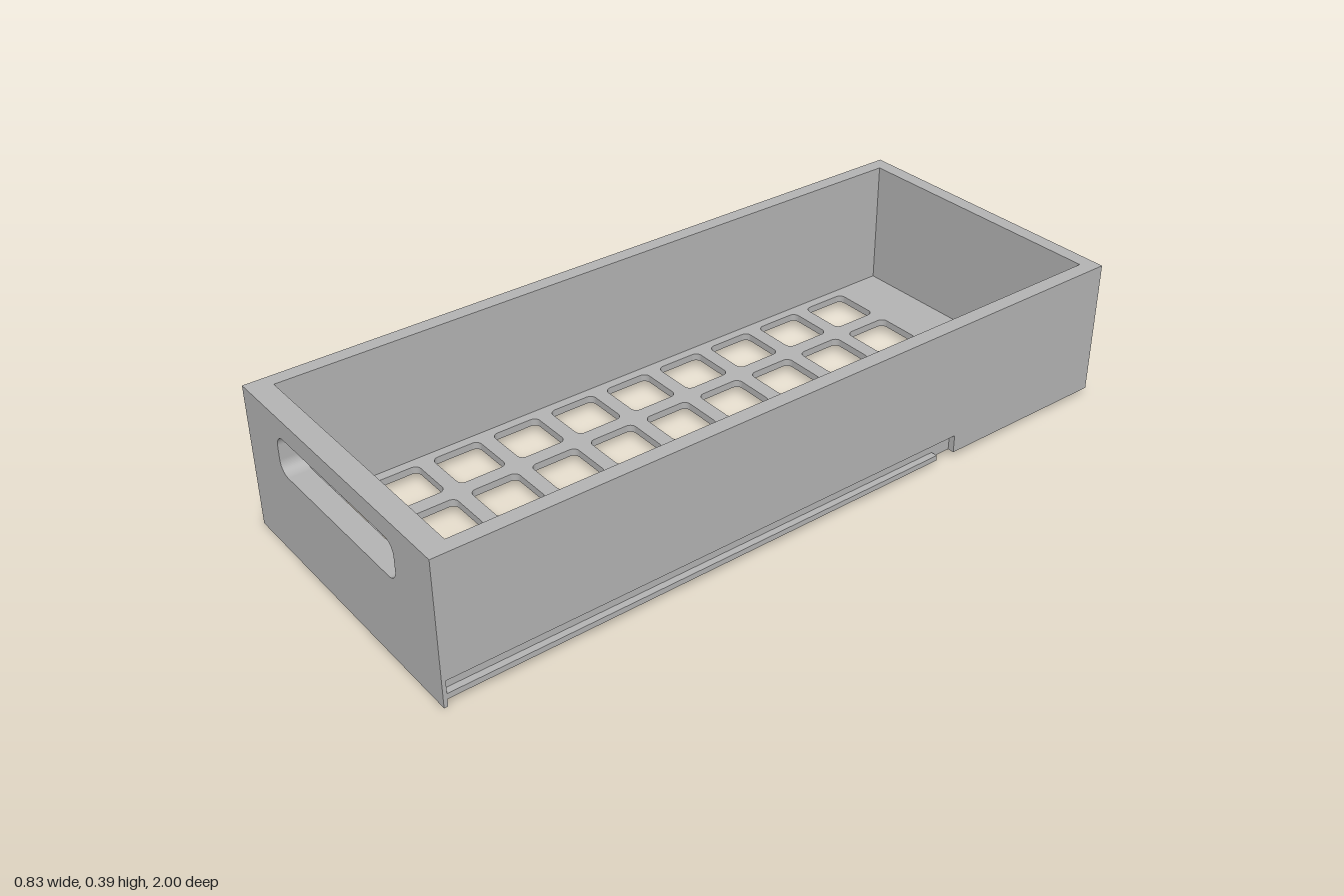
import * as THREE from 'three';

const W = 0.415, IN = 0.375, TOP = 0.39, BASE = 0.02;

// Rectangle with optional rounded corners
function rect(Type, x0, y0, x1, y1, r = 0) {
  const s = new Type();
  if (!r) {
    s.moveTo(x0, y0).lineTo(x1, y0).lineTo(x1, y1).lineTo(x0, y1).closePath();
    return s;
  }
  s.moveTo(x0 + r, y0).lineTo(x1 - r, y0);
  s.absarc(x1 - r, y0 + r, r, -Math.PI / 2, 0);
  s.lineTo(x1, y1 - r);
  s.absarc(x1 - r, y1 - r, r, 0, Math.PI / 2);
  s.lineTo(x0 + r, y1);
  s.absarc(x0 + r, y1 - r, r, Math.PI / 2, Math.PI);
  s.lineTo(x0, y0 + r);
  s.absarc(x0 + r, y0 + r, r, Math.PI, Math.PI * 1.5);
  return s;
}

// Extrude a shape from z0 to z1
function slab(shape, z0, z1) {
  const g = new THREE.ExtrudeGeometry(shape, { depth: z1 - z0, bevelEnabled: false, curveSegments: 8 });
  return g.translate(0, 0, z0);
}

export function createModel() {
  const group = new THREE.Group();
  const grey = new THREE.MeshStandardMaterial({ color: 0xb3b3b3 });
  grey.name = 'grey plastic';
  const add = (name, geometry) => {
    const m = new THREE.Mesh(geometry, grey);
    m.name = name;
    group.add(m);
  };

  // Floor with a grid of rounded square openings
  const floor = rect(THREE.Shape, -IN, -0.94, IN, 0.96);
  const pitch = 0.1772, half = 0.068;
  for (let row = 0; row < 10; row++) {
    for (let col = 0; col < 4; col++) {
      const x = -0.28 + col * pitch, y = 0.738 - row * pitch;
      floor.holes.push(rect(THREE.Path, x - half, y - half, x + half, y + half, 0.018));
    }
  }
  add('floor', slab(floor, 0, 0.02).rotateX(-Math.PI / 2).translate(0, BASE, 0));

  // Back wall
  add('backWall', slab(rect(THREE.Shape, -IN, BASE, IN, TOP), -1, -0.96));

  // Front wall with a handle slot, and a thin face that hangs below the floor
  const frontPanel = (x, y) => {
    const s = rect(THREE.Shape, -x, y, x, TOP);
    s.holes.push(rect(THREE.Path, -0.26, 0.234, 0.26, 0.338, 0.033));
    return s;
  };
  add('frontWall', slab(frontPanel(IN, BASE), 0.94, 0.99));
  add('frontFace', slab(frontPanel(W, 0), 0.99, 1));

  // Side walls: plain at the back, an entry notch, then a runner groove above a thin rail
  const G = 0.397, grooveTop = 0.07, railTop = 0.035;
  const plain = [[IN, BASE], [W, BASE], [W, TOP], [IN, TOP]];
  const notch = [[IN, BASE], [G, BASE], [G, grooveTop], [W, grooveTop], [W, TOP], [IN, TOP]];
  const groove = [[IN, BASE], [W, BASE], [W, railTop], [G, railTop], [G, grooveTop],
    [W, grooveTop], [W, TOP], [IN, TOP]];
  for (const [side, name] of [[1, 'left'], [-1, 'right']]) {
    const wall = (profile, z0, z1) =>
      slab(new THREE.Shape(profile.map(([x, y]) => new THREE.Vector2(side * x, y))), z0, z1);
    add(name + 'WallBack', wall(plain, -1, -0.5));
    add(name + 'WallNotch', wall(notch, -0.5, -0.44));
    add(name + 'WallGroove', wall(groove, -0.44, 0.99));
  }
  return group;
}
